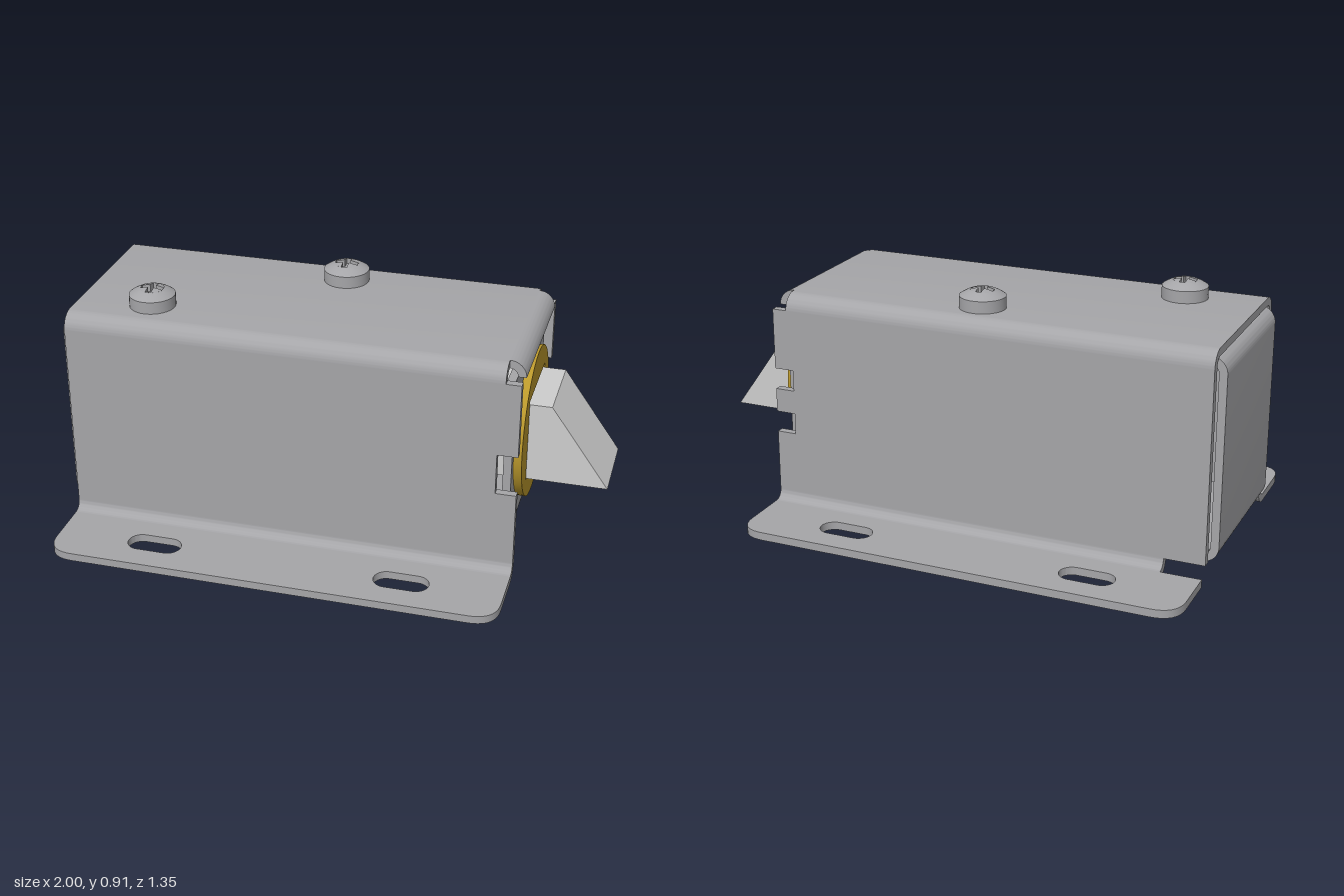
import * as THREE from 'three';
import { toCreasedNormals } from 'three/addons/utils/BufferGeometryUtils.js';

const PI = Math.PI;
const T = 0.03; // sheet thickness

export function createModel() {
  const model = new THREE.Group();
  const mat = (name, color) => Object.assign(new THREE.MeshStandardMaterial({ color }), { name });
  const steel = mat('steel', 0xa5a5a8);
  const boltSteel = mat('bright bolt steel', 0xcdcdcd);
  const brass = mat('brass', 0xba982c);

  const add = (name, geo, material, parent = model) => {
    const mesh = new THREE.Mesh(toCreasedNormals(geo, 0.6), material);
    mesh.name = name;
    parent.add(mesh);
    return mesh;
  };
  const poly = (pts) => new THREE.Shape(pts.map(([x, y]) => new THREE.Vector2(x, y)));
  const extrude = (shape, depth, curveSegments = 10) =>
    new THREE.ExtrudeGeometry(shape, { depth, bevelEnabled: false, curveSegments });
  // Profile in x,y pushed along z
  const alongZ = (shape, z0, z1) => extrude(shape, z1 - z0).translate(0, 0, z0);
  // Profile in -z,y pushed along x
  const alongX = (shape, x0, x1, seg) => extrude(shape, x1 - x0, seg).rotateY(PI / 2).translate(x0, 0, 0);
  // Outline in x,-z pushed along y
  const alongY = (shape, y0, y1) => extrude(shape, y1 - y0).rotateX(-PI / 2).translate(0, y0, 0);
  const roundHole = (x, y, r) => new THREE.Path().absarc(x, y, r, 0, 2 * PI, false);

  // Cover: top sheet with its two long bends
  const cover = new THREE.Group();
  cover.name = 'cover';
  model.add(cover);
  const top = new THREE.Shape();
  top.moveTo(-0.365, 0.78);
  top.absarc(-0.305, 0.78, 0.06, PI, PI / 2, true);
  top.absarc(0.305, 0.78, 0.06, PI / 2, 0, true);
  top.lineTo(0.335, 0.78);
  top.absarc(0.305, 0.78, 0.03, 0, PI / 2, false);
  top.absarc(-0.305, 0.78, 0.03, PI / 2, PI, false);
  add('coverTop', alongX(top, -0.97, 0.65), steel, cover);

  // Curled lip at the bolt end of the cover
  const lip = new THREE.Shape();
  lip.moveTo(0.65, 0.84);
  lip.absarc(0.65, 0.78, 0.06, PI / 2, 0, true);
  lip.lineTo(0.68, 0.78);
  lip.absarc(0.65, 0.78, 0.03, 0, PI / 2, false);
  add('coverLip', alongZ(lip, -0.3, 0.3), steel, cover);

  for (const s of [1, -1]) {
    // Side wall, notched along its front edge
    const notches = s > 0 ? [[0.345, 0.5]] : [[0.3, 0.38], [0.47, 0.55]];
    const edge = notches.flatMap(([a, b]) => [[0.705, a], [0.63, a], [0.63, b], [0.705, b]]);
    const wall = poly([[-0.97, 0.065], [0.705, 0.065], ...edge, [0.705, 0.78], [-0.97, 0.78]]);
    add('sideWall', alongZ(wall, s * 0.35 - T / 2, s * 0.35 + T / 2), steel, cover);

    // Bend from wall to flange, cut short at the rear of one side
    const bend = new THREE.Shape();
    bend.moveTo(0.335, 0.065);
    bend.absarc(0.4, 0.065, 0.065, PI, 1.5 * PI, false);
    bend.lineTo(0.4, T);
    bend.absarc(0.4, 0.065, 0.035, 1.5 * PI, PI, true);
    const bendGeo = s > 0 ? alongX(bend, -0.705, 0.97).rotateY(PI) : alongX(bend, -0.82, 0.705);
    add('flangeBend', bendGeo, steel, cover);

    // Mounting flange with two slots
    const v = -s;
    const flange = new THREE.Shape();
    flange.moveTo(-0.97, v * 0.4);
    flange.lineTo(0.705, v * 0.4);
    flange.lineTo(0.705, v * 0.575);
    flange.quadraticCurveTo(0.705, v * 0.675, 0.605, v * 0.675);
    flange.lineTo(-0.87, v * 0.675);
    flange.quadraticCurveTo(-0.97, v * 0.675, -0.97, v * 0.575);
    for (const x of [-0.6, 0.335]) {
      const slot = new THREE.Path();
      slot.absarc(x + 0.053, v * 0.532, 0.049, -PI / 2, PI / 2, false);
      slot.absarc(x - 0.053, v * 0.532, 0.049, PI / 2, 1.5 * PI, false);
      slot.closePath();
      flange.holes.push(slot);
    }
    add('mountingFlange', alongY(flange, 0, T), steel, cover);
  }

  // Inner frame: top, rear end and lower rear bend in one strip
  const frame = new THREE.Group();
  frame.name = 'innerFrame';
  model.add(frame);
  const rear = new THREE.Shape();
  rear.moveTo(0.6, 0.808);
  rear.absarc(-0.94, 0.748, 0.06, PI / 2, PI, false);
  rear.absarc(-0.94, 0.115, 0.06, PI, 1.5 * PI, false);
  rear.lineTo(-0.94, 0.085);
  rear.absarc(-0.94, 0.115, 0.03, 1.5 * PI, PI, true);
  rear.absarc(-0.94, 0.748, 0.03, PI, PI / 2, true);
  rear.lineTo(0.6, 0.778);
  add('frameRear', alongZ(rear, -0.31, 0.31), steel, frame);

  // Front wall with its wide lower bend
  const front = new THREE.Shape();
  front.moveTo(0.575, 0.055);
  front.absarc(0.575, 0.155, 0.1, -PI / 2, 0, false);
  front.lineTo(0.675, 0.765);
  front.lineTo(0.645, 0.765);
  front.absarc(0.575, 0.155, 0.07, 0, -PI / 2, true);
  add('frameFront', alongZ(front, -0.31, 0.31), steel, frame);

  // Bottom plate with four screw holes and a window
  const bottom = poly([[-0.94, -0.31], [0.575, -0.31], [0.575, 0.31], [-0.94, 0.31]]);
  for (const x of [-0.69, -0.07]) for (const z of [-0.2, 0.2]) bottom.holes.push(roundHole(x, z, 0.042));
  bottom.holes.push(poly([[0.05, -0.07], [0.24, -0.07], [0.24, 0.07], [0.05, 0.07]]));
  add('frameBottom', alongY(bottom, 0.055, 0.085), steel, frame);

  // Brass ring with a square opening
  const ring = new THREE.Shape().absarc(0, 0.457, 0.28, 0, 2 * PI, false);
  ring.holes.push(poly([[-0.16, 0.295], [0.16, 0.295], [0.16, 0.615], [-0.16, 0.615]]));
  add('guideRing', alongX(ring, 0.675, 0.705, 32), brass);

  // Wedge-ended latch bolt
  const bolt = poly([[0.12, 0.297], [1, 0.297], [0.785, 0.6], [0.12, 0.6]]);
  add('latchBolt', alongZ(bolt, -0.153, 0.153), boltSteel);

  // Domed screws with a cross recess
  const dome = (r) => 0.915 - 0.03 * (r / 0.085) ** 2;
  const profile = [[0, 0.835], [0.085, 0.835]];
  for (let i = 0; i <= 5; i++) {
    const r = 0.085 - 0.008 * i;
    profile.push([r, dome(r)]);
  }
  profile.push([0.045, 0.885], [0, 0.885]);
  const head = new THREE.LatheGeometry(profile.map(([r, y]) => new THREE.Vector2(r, y)), 32);

  const a = 0.011, b = 0.042;
  const cross = poly([[a, a], [a, b], [-a, b], [-a, a], [-b, a], [-b, -a],
    [-a, -a], [-a, -b], [a, -b], [a, -a], [b, -a], [b, a]]);
  const capShape = new THREE.Shape().absarc(0, 0, 0.045, 0, 2 * PI, false);
  capShape.holes.push(cross);
  const cap = alongY(capShape, 0.88, 0.915);
  const p = cap.attributes.position;
  for (let i = 0; i < p.count; i++) {
    if (p.getY(i) > 0.9) p.setY(i, dome(Math.hypot(p.getX(i), p.getZ(i))));
  }
  for (const [x, z] of [[-0.69, 0.195], [-0.068, -0.21]]) {
    const screw = new THREE.Group();
    screw.name = 'screw';
    screw.position.set(x, 0, z);
    add('screwHead', head, steel, screw);
    add('screwCrossRecess', cap, steel, screw);
    model.add(screw);
  }
  return model;
}
